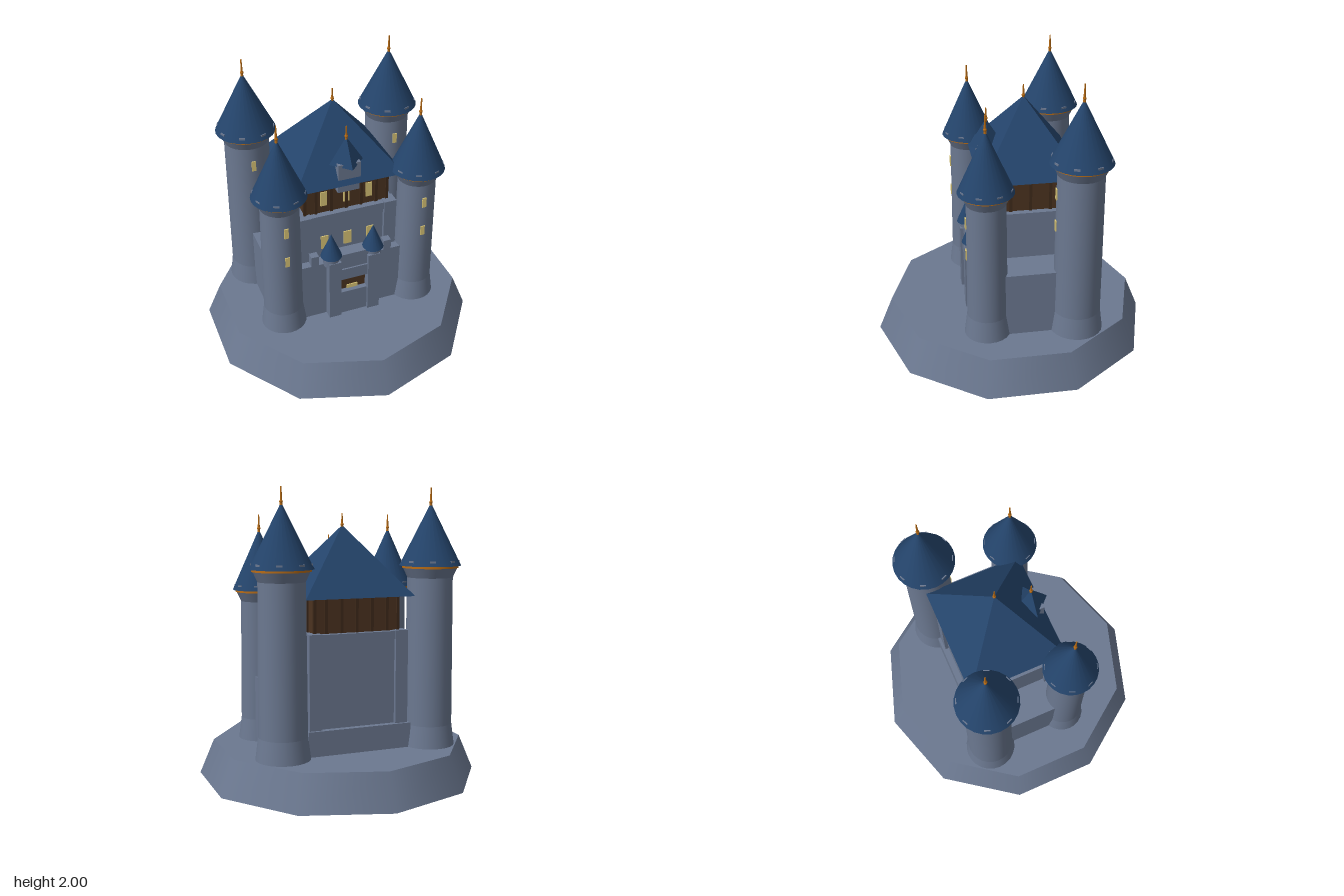
import * as THREE from 'three';

const flat = (color) => new THREE.MeshStandardMaterial({ color });

export function createModel() {
  const castle = new THREE.Group();
  castle.name = 'castle';
  const stone = flat(0x6b7890); stone.name = 'stone';
  const slate = flat(0x24446b); slate.name = 'roofSlate';
  const timber = flat(0x4c3320); timber.name = 'timber';
  const beam = flat(0x3f2a1a); beam.name = 'darkBeam';
  const gold = flat(0xb86c16); gold.name = 'gold';
  const glow = flat(0xdcc878); glow.name = 'windowGlow';

  const add = (parent, name, geometry, material) => {
    const mesh = new THREE.Mesh(geometry, material);
    mesh.name = name;
    parent.add(mesh);
    return mesh;
  };
  // Box given by its lower and upper bounds
  const box = (name, material, x0, x1, y0, y1, z0, z1, parent = castle) => {
    const mesh = add(parent, name, new THREE.BoxGeometry(x1 - x0, y1 - y0, z1 - z0), material);
    mesh.position.set((x0 + x1) / 2, (y0 + y1) / 2, (z0 + z1) / 2);
    return mesh;
  };
  // Upright round part between two heights
  const round = (parent, name, material, r0, r1, y0, y1, sides = 24) => {
    const mesh = add(parent, name, new THREE.CylinderGeometry(r1, r0, y1 - y0, sides), material);
    mesh.position.y = (y0 + y1) / 2;
    return mesh;
  };
  // Four-sided roof with flat faces
  const pyramid = (name, halfX, halfZ, y0, y1, z, turn) => {
    let geometry = new THREE.ConeGeometry(Math.SQRT2, y1 - y0, 4);
    if (turn) geometry.rotateY(Math.PI / 4);
    geometry.scale(halfX, 1, halfZ);
    geometry = geometry.toNonIndexed();
    geometry.computeVertexNormals();
    add(castle, name, geometry, slate).position.set(0, (y0 + y1) / 2, z);
  };
  // Slender spike with a bead at its foot
  const finial = (parent, x, y, z, height) => {
    const group = new THREE.Group();
    group.name = 'finial';
    group.position.set(x, y, z);
    parent.add(group);
    round(group, 'spike', gold, 0.010, 0.004, -0.03, height, 8);
    add(group, 'bead', new THREE.SphereGeometry(0.012, 10, 8), gold).position.y = 0.005;
  };

  // Rocky ten-sided base
  round(castle, 'base', stone, 0.98, 0.88, 0, 0.24, 10);

  // Corner towers
  const tower = (name, x, z, r, eave, roofR, windows) => {
    const group = new THREE.Group();
    group.name = name;
    group.position.set(x, 0, z);
    castle.add(group);
    round(group, 'foot', stone, r + 0.028, r + 0.008, 0.24, 0.39);
    round(group, 'shaft', stone, r + 0.008, r, 0.39, eave - 0.08);
    round(group, 'corbel', stone, r, roofR - 0.025, eave - 0.08, eave - 0.015);
    round(group, 'goldBand', gold, roofR - 0.018, roofR - 0.018, eave - 0.015, eave);
    round(group, 'roof', slate, roofR, 0, eave, eave + 0.42);
    finial(group, 0, eave + 0.42, 0, 0.1);
    // Merlon tips breaking through the eaves
    for (let i = 0; i < 8; i++) {
      const a = ((i + 0.5) * Math.PI) / 4;
      const tip = box('merlon', stone, -0.02, 0.02, eave + 0.002, eave + 0.036, -0.01, 0.01, group);
      tip.position.x = Math.sin(a) * (roofR - 0.023);
      tip.position.z = Math.cos(a) * (roofR - 0.023);
      tip.rotation.y = a;
    }
    for (const y of windows) {
      box('towerWindow', glow, -0.015, 0.015, y, y + 0.075, r + 0.001, r + 0.009, group);
    }
  };
  for (const s of [-1, 1]) {
    tower('backTower', s * 0.53, -0.37, 0.155, 1.48, 0.21, [1.0, 1.23]);
    tower('frontTower', s * 0.495, 0.24, 0.131, 1.3, 0.187, [0.815, 1.05]);
  }

  // Stone keep with corner buttresses, string courses and plinth
  box('keep', stone, -0.33, 0.33, 0.24, 1.04, -0.375, 0.205);
  box('keepPlinth', stone, -0.37, 0.37, 0.24, 0.41, -0.42, 0.24);
  box('stringCourse', stone, -0.345, 0.345, 0.99, 1.045, -0.39, 0.22);
  for (const s of [-1, 1]) {
    for (const z of [-0.355, 0.185]) {
      box('buttress', stone, s * 0.31 - 0.045, s * 0.31 + 0.045, 0.24, 1.05, z - 0.045, z + 0.045);
    }
    // Side curtain walls
    box('sideWall', stone, s * 0.45 - 0.12, s * 0.45 + 0.12, 0.24, 0.7, -0.33, 0.22);
  }

  // Timber storey with upright posts
  box('timberStorey', timber, -0.3, 0.3, 1.04, 1.3, -0.345, 0.175);
  for (const x of [-0.3, -0.22, -0.11, 0, 0.11, 0.22, 0.3]) {
    for (const z of [-0.345, 0.175]) {
      box('post', beam, x - 0.01, x + 0.01, 1.045, 1.28, z - 0.01, z + 0.01);
    }
  }
  for (const s of [-1, 1]) {
    for (const z of [-0.22, -0.085, 0.05]) {
      box('sidePost', beam, s * 0.3 - 0.01, s * 0.3 + 0.01, 1.045, 1.28, z - 0.01, z + 0.01);
    }
  }
  for (const x of [-0.165, 0, 0.165]) {
    box('timberWindow', glow, x - 0.023, x + 0.023, 1.1, 1.21, 0.174, 0.182);
    box('keepWindow', glow, x * 1.03 - 0.028, x * 1.03 + 0.028, 0.76, 0.865, 0.204, 0.212);
  }

  // Great roof
  pyramid('greatRoof', 0.39, 0.345, 1.28, 1.75, -0.085, true);
  finial(castle, 0, 1.75, -0.085, 0.08);

  // Oriel dormer
  box('orielCorbel', stone, -0.078, 0.078, 1.21, 1.28, 0.13, 0.225);
  box('oriel', stone, -0.08, 0.08, 1.28, 1.43, 0.08, 0.235);
  pyramid('orielRoof', 0.085, 0.085, 1.41, 1.6, 0.17, false);
  finial(castle, 0, 1.6, 0.17, 0.08);

  // Front wall and gatehouse
  box('frontWall', stone, -0.37, 0.37, 0.24, 0.69, 0.1, 0.29);
  box('gatehouse', stone, -0.18, 0.18, 0.55, 0.76, 0.24, 0.33);
  box('gateLintel', stone, -0.1, 0.1, 0.55, 0.64, 0.3, 0.342);
  box('gateDoor', timber, -0.1, 0.1, 0.42, 0.555, 0.288, 0.297);
  box('gateLight', glow, -0.04, 0.04, 0.42, 0.46, 0.296, 0.304);
  box('gateSill', stone, -0.1, 0.1, 0.24, 0.43, 0.27, 0.335);
  for (const s of [-1, 1]) {
    box('gatePier', stone, s * 0.145 - 0.045, s * 0.145 + 0.045, 0.24, 0.72, 0.25, 0.355);
    box('wallMerlon', stone, s * 0.27 - 0.028, s * 0.27 + 0.028, 0.69, 0.765, 0.235, 0.29);
    const turret = new THREE.Group();
    turret.name = 'gateTurret';
    turret.position.set(s * 0.155, 0, 0.295);
    castle.add(turret);
    round(turret, 'turretDrum', stone, 0.055, 0.06, 0.68, 0.755, 16);
    round(turret, 'turretRoof', slate, 0.076, 0, 0.755, 0.935, 16);
  }
  return castle;
}
